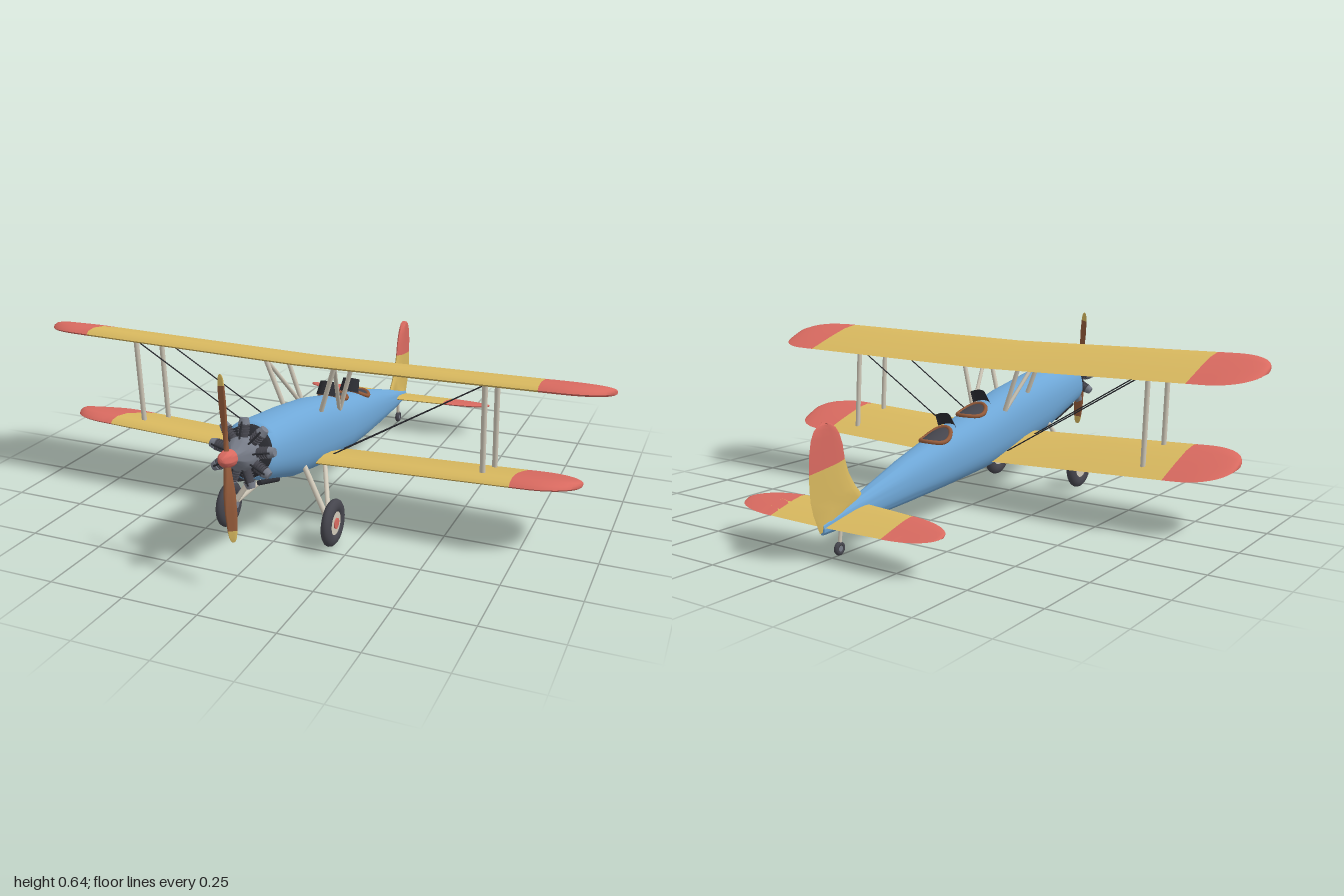
import * as THREE from 'three';
import { toCreasedNormals } from 'three/addons/utils/BufferGeometryUtils.js';

const mat = (name, color, side = THREE.FrontSide) => new THREE.MeshStandardMaterial({ name, color, side });
const V = (x, y, z) => new THREE.Vector3(x, y, z);

export function createModel() {
  const blue = mat('blue', 0x6fa8d8), yellow = mat('yellow', 0xd9b95f), red = mat('red', 0xd96a60);
  const wood = mat('wood', 0x935a3a), rubber = mat('rubber', 0x45454d), steel = mat('steel', 0x777c88);
  const ivory = mat('ivory', 0xcfc8b8), black = mat('black', 0x2b2c32, THREE.DoubleSide);
  const model = new THREE.Group();
  model.name = 'biplane';

  const add = (name, geo, material, parent = model) => {
    const mesh = new THREE.Mesh(geo, material);
    mesh.name = name;
    parent.add(mesh);
    return mesh;
  };
  const group = (name, parent = model) => {
    const g = new THREE.Group();
    g.name = name;
    parent.add(g);
    return g;
  };

  // Skin closed rings of points, cap both ends, and wind the faces outward
  function loft(rings, crease = 0.8) {
    const n = rings[0].length, pts = rings.flat(), idx = [];
    for (let i = 0; i < rings.length - 1; i++) for (let j = 0; j < n; j++) {
      const a = i * n + j, b = i * n + (j + 1) % n;
      idx.push(a, b, a + n, b, b + n, a + n);
    }
    const last = (rings.length - 1) * n;
    for (let j = 1; j < n - 1; j++) idx.push(0, j + 1, j, last, last + j, last + j + 1);
    let volume = 0;
    for (let k = 0; k < idx.length; k += 3)
      volume += pts[idx[k]].dot(pts[idx[k + 1]].clone().cross(pts[idx[k + 2]]));
    if (volume < 0) idx.reverse();
    const geo = new THREE.BufferGeometry().setFromPoints(pts);
    geo.setIndex(idx);
    return toCreasedNormals(geo, crease);
  }

  // Aerofoil ring between a leading and a trailing point
  const shape = [[0.04, 0.5], [0.15, 0.9], [0.35, 1], [0.65, 0.62], [0.98, 0.06]];
  function foil(le, te, normal, up, down) {
    const at = (u, h) => le.clone().lerp(te, u).addScaledVector(normal, h);
    return [le.clone(), ...shape.map(([u, t]) => at(u, t * up)), te.clone(),
      ...shape.slice().reverse().map(([u, t]) => at(u, -t * down))];
  }

  const rod = (name, a, b, r, material, parent = model, r2 = r) => {
    const d = b.clone().sub(a);
    const mesh = add(name, new THREE.CylinderGeometry(r2, r, d.length(), 14), material, parent);
    mesh.position.copy(a).addScaledVector(d, 0.5);
    mesh.quaternion.setFromUnitVectors(V(0, 1, 0), d.normalize());
    return mesh;
  };

  // Fuselage stations: top z, top y, bottom z, bottom y, half width
  const body = [
    [0.635, 0.448, 0.683, 0.298, 0.08], [0.618, 0.458, 0.667, 0.284, 0.09], [0.4, 0.431, 0.42, 0.198, 0.092],
    [0.2, 0.397, 0.2, 0.153, 0.092], [0, 0.345, 0, 0.127, 0.088], [-0.2, 0.297, -0.2, 0.11, 0.073],
    [-0.4, 0.242, -0.4, 0.097, 0.054], [-0.6, 0.177, -0.6, 0.087, 0.032], [-0.79, 0.115, -0.79, 0.081, 0.009]];
  const P = 2.3, pow = (v) => Math.sign(v) * Math.abs(v) ** (2 / P);
  add('fuselage', loft(body.map(([zt, yt, zb, yb, w]) => Array.from({ length: 36 }, (_, i) => {
    const a = i / 36 * Math.PI * 2, s = pow(Math.sin(a)), k = (s + 1) / 2;
    return V(w * pow(Math.cos(a)), yb + (yt - yb) * k, zb + (zt - zb) * k);
  }))), blue);

  // Height of the upper fuselage skin
  function topAt(x, z) {
    const i = Math.max(1, body.findIndex((s) => s[0] <= z)), a = body[i - 1], b = body[i];
    const t = (z - a[0]) / (b[0] - a[0]), mix = (k) => a[k] + (b[k] - a[k]) * t;
    const half = (mix(1) - mix(3)) / 2;
    return mix(3) + half + half * (1 - Math.min(1, Math.abs(x) / mix(4)) ** P) ** (1 / P);
  }

  // Two cockpits: dark opening, padded rim and windscreen
  for (const [name, zc, len] of [['front', -0.003, 0.055], ['rear', -0.218, 0.058]]) {
    const g = group(name + 'Cockpit');
    const hole = new THREE.RingGeometry(0.001, 1, 32, 8).rotateX(-Math.PI / 2).scale(0.046, 1, len);
    const p = hole.attributes.position;
    for (let i = 0; i < p.count; i++) p.setY(i, topAt(p.getX(i), p.getZ(i) + zc) + 0.004);
    hole.translate(0, 0, zc).computeVertexNormals();
    add('opening', hole, rubber, g);
    const rim = Array.from({ length: 24 }, (_, i) => {
      const a = i / 12 * Math.PI, x = 0.047 * Math.cos(a), z = zc + len * Math.sin(a);
      return V(x, topAt(x, z) + 0.003, z);
    });
    add('rim', new THREE.TubeGeometry(new THREE.CatmullRomCurve3(rim, true), 48, 0.0075, 8, true), wood, g);
    const screen = add('windscreen', new THREE.CylinderGeometry(0.038, 0.045, 0.05, 16, 1, true, -1, 2), black, g);
    screen.rotation.x = -0.45;
    screen.position.set(0, topAt(0, zc + len) + 0.014, zc + len - 0.024);
  }

  // Wing with rounded tips in a second colour
  function wing(name, o) {
    const g = group(name);
    const ring = (x) => {
      const ax = Math.abs(x), t = Math.min(0.998, Math.max(0, (ax - o.round) / (o.span - o.round)));
      const f = (1 - t ** 2.2) ** (1 / 2.2);
      const zf = o.zf - o.sweep * ax, mid = (zf + o.zb) / 2, half = (zf - o.zb) / 2 * f;
      const y = o.y + o.dihedral * ax;
      return foil(V(x, y + o.pitch * half, mid + half), V(x, y - o.pitch * half, mid - half),
        V(0, 1, 0), o.up * Math.sqrt(f), o.down * Math.sqrt(f));
    };
    add('panel', loft([-1, -0.5, 0, 0.5, 1].map((k) => ring(k * o.split))), yellow, g);
    for (const s of [-1, 1]) {
      const xs = [o.split, ...Array.from({ length: 13 }, (_, i) =>
        o.round + (o.span - o.round) * Math.sin(i / 12 * Math.PI / 2))];
      add('tip', loft(xs.map((x) => ring(s * x))), red, g);
    }
  }
  wing('upperWing', { span: 1, round: 0.84, split: 0.79, zf: 0.33, zb: 0.03, sweep: 0, y: 0.523,
    dihedral: 0.016, pitch: 0.2, up: 0.025, down: 0.012 });
  wing('lowerWing', { span: 0.92, round: 0.76, split: 0.72, zf: 0.325, zb: 0.03, sweep: 0, y: 0.187,
    dihedral: 0.038, pitch: 0.2, up: 0.025, down: 0.012 });
  wing('tailplane', { span: 0.39, round: 0.22, split: 0.265, zf: -0.6, zb: -0.785, sweep: 0.11, y: 0.122,
    dihedral: 0, pitch: 0.19, up: 0.008, down: 0.008 });

  // Fin and rudder: leading z, y and trailing z, y
  const finRing = ([zf, yf, zb, yb]) => foil(V(0, yf, zf), V(0, yb, zb), V(1, 0, 0), 0.011, 0.011);
  const seam = [-0.682, 0.3, -0.84, 0.275];
  const fin = group('fin');
  add('finLower', loft([[-0.74, 0.11, -0.8, 0.088], [-0.6, 0.165, -0.826, 0.15], [-0.635, 0.203, -0.836, 0.19],
    [-0.665, 0.25, -0.84, 0.23], seam].map(finRing)), yellow, fin);
  add('finTip', loft([seam, [-0.69, 0.345, -0.837, 0.335], [-0.705, 0.382, -0.828, 0.378],
    [-0.722, 0.403, -0.815, 0.403], [-0.742, 0.416, -0.797, 0.416], [-0.766, 0.422, -0.776, 0.422]]
    .map(finRing)), red, fin);

  // Struts, bracing wires and main wheels on both sides
  for (const s of [-1, 1]) {
    const side = group(s > 0 ? 'leftBracing' : 'rightBracing');
    const link = (name, a, b, r, m = ivory) => rod(name, V(s * a[0], a[1], a[2]), V(s * b[0], b[1], b[2]), r, m, side);
    link('wingStrut', [0.62, 0.555, 0.283], [0.62, 0.225, 0.26], 0.009);
    link('wingStrut', [0.62, 0.52, 0.122], [0.62, 0.2, 0.1], 0.009);
    link('cabaneStrut', [0.123, 0.545, 0.283], [0.068, 0.38, 0.262], 0.008);
    link('cabaneStrut', [0.123, 0.545, 0.283], [0.07, 0.335, 0.11], 0.007);
    link('cabaneStrut', [0.123, 0.512, 0.122], [0.07, 0.335, 0.105], 0.008);
    link('wire', [0.61, 0.54, 0.275], [0.085, 0.215, 0.25], 0.0022, black);
    link('wire', [0.61, 0.51, 0.115], [0.085, 0.19, 0.1], 0.0022, black);
    link('gearLeg', [0.17, 0.08, 0.445], [0.07, 0.245, 0.41], 0.009);
    link('gearLeg', [0.17, 0.08, 0.44], [0.06, 0.19, 0.215], 0.008);
    link('axle', [0.155, 0.08, 0.447], [0.187, 0.08, 0.447], 0.012, steel);
    link('exhaust', [0.035, 0.277, 0.66], [0.035, 0.237, 0.53], 0.008, black);

    const wheel = group(s > 0 ? 'leftWheel' : 'rightWheel');
    wheel.position.set(s * 0.187, 0.078, 0.447);
    add('tyre', new THREE.TorusGeometry(0.055, 0.023, 14, 40).scale(1, 1, 0.72).rotateY(Math.PI / 2), rubber, wheel);
    rod('rimDisc', V(-0.011, 0, 0), V(0.011, 0, 0), 0.042, ivory, wheel).geometry =
      new THREE.CylinderGeometry(0.042, 0.042, 0.022, 32);
    rod('hubCap', V(-0.015, 0, 0), V(0.015, 0, 0), 0.018, red, wheel);
  }

  // Tail wheel
  const tail = group('tailWheel');
  rod('tailLeg', V(0, 0.1, -0.705), V(0, 0.025, -0.715), 0.006, ivory, tail);
  add('tailTyre', new THREE.TorusGeometry(0.014, 0.008, 10, 24).rotateY(Math.PI / 2), rubber, tail)
    .position.set(0, 0.022, -0.715);
  rod('tailHub', V(-0.006, 0.022, -0.715), V(0.006, 0.022, -0.715), 0.009, steel, tail);

  // Nose: everything along the tilted thrust line
  const nose = group('nose');
  nose.position.set(0, 0.373, 0.657);
  nose.rotation.x = -0.19;
  const lathe = (name, pts, m, parent) => add(name, toCreasedNormals(new THREE.LatheGeometry(
    pts.map(([r, z]) => new THREE.Vector2(r, z)), 32).rotateX(Math.PI / 2), 0.7), m, parent);
  lathe('firewall', [[0.082, -0.01], [0.08, 0.012], [0.068, 0.022], [0, 0.022]], black, nose);
  lathe('crankcase', [[0.052, 0.01], [0.052, 0.06], [0.044, 0.072], [0.024, 0.095], [0.018, 0.13], [0, 0.13]], steel, nose);
  for (let i = 0; i < 9; i++) {
    const a = i / 9 * Math.PI * 2, at = (r, z) => V(Math.sin(a) * r, Math.cos(a) * r, z);
    rod('barrel', at(0.045, 0.04), at(0.092, 0.04), 0.014, rubber, nose);
    for (const r of [0.06, 0.068, 0.076, 0.084]) rod('coolingFin', at(r, 0.04), at(r + 0.003, 0.04), 0.0185, rubber, nose);
    rod('cylinderHead', at(0.09, 0.04), at(0.108, 0.04), 0.018, steel, nose, 0.013);
    rod('pushrod', at(0.042, 0.066), at(0.098, 0.055), 0.003, black, nose);
  }

  // Propeller: radius, width, twist and thickness of each blade section
  const prop = group('propeller', nose);
  prop.position.z = 0.138;
  prop.rotation.z = 0.155;
  const bladeRing = ([r, w, twist, th]) => {
    const d = V(Math.cos(twist) * w / 2, 0, Math.sin(twist) * w / 2), c = V(0, r, 0);
    return foil(c.clone().add(d), c.clone().sub(d), V(-Math.sin(twist), 0, Math.cos(twist)), th, th);
  };
  const tipStart = [0.212, 0.029, 0.35, 0.003];
  for (const turn of [0, Math.PI]) {
    const blade = group('blade', prop);
    blade.rotation.z = turn;
    add('bladeWood', loft([[0, 0.018, 0.8, 0.008], [0.05, 0.026, 0.75, 0.007], [0.1, 0.036, 0.6, 0.005],
      [0.16, 0.036, 0.45, 0.004], tipStart].map(bladeRing)), wood, blade);
    add('bladeTip', loft([tipStart, [0.232, 0.023, 0.32, 0.0025], [0.242, 0.015, 0.3, 0.002],
      [0.246, 0.005, 0.3, 0.001]].map(bladeRing)), yellow, blade);
  }
  lathe('spinner', [[0, -0.018], [0.027, -0.018], [0.027, -0.004], [0.023, 0.014], [0.014, 0.03], [0.006, 0.038], [0, 0.04]]
    , red, prop);

  // Keep lathe surfaces facing outward
  model.traverse((m) => {
    if (['firewall', 'crankcase', 'spinner'].includes(m.name)) m.material.side = THREE.DoubleSide;
  });
  return model;
}
